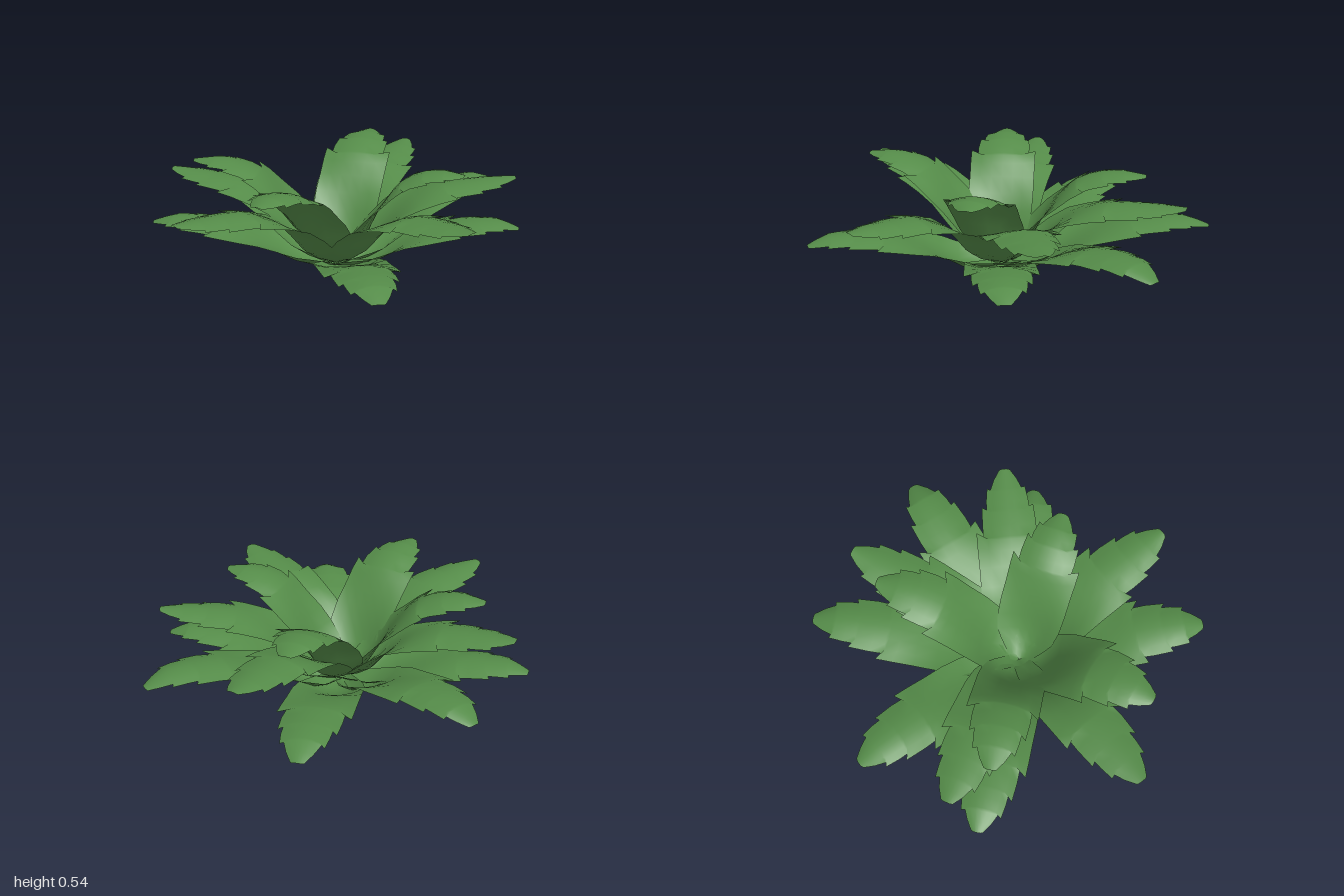
import * as THREE from 'three';

const CENTRE = new THREE.Vector2(0.04, 0.07);

// Midrib of each tier: [fraction of reach, height]
const PROFILES = {
  upper: [[0, 0.02], [0.18, 0.11], [0.36, 0.34], [0.54, 0.49], [0.78, 0.545], [1, 0.535]],
  middle: [[0, 0.015], [0.18, 0.1], [0.34, 0.28], [0.54, 0.39], [0.78, 0.425], [1, 0.437]],
  lower: [[0, 0.005], [0.18, 0.02], [0.38, 0.16], [0.6, 0.265], [0.8, 0.295], [0.9, 0.29], [1, 0.25]],
};

// Serrated outline: [fraction of length, half width, forward shift of the edge]
const OUTLINE = [
  [0, 0.045, 0], [0.06, 0.085, 0], [0.12, 0.12, 0], [0.2, 0.15, 0], [0.3, 0.167, 0],
  [0.4, 0.172, 0], [0.5, 0.172, 0], [0.58, 0.174, 0.02], [0.63, 0.174, 0.05], [0.645, 0.138, 0],
  [0.7, 0.14, 0.015], [0.77, 0.134, 0.045], [0.785, 0.112, 0],
  [0.83, 0.11, 0.01], [0.88, 0.1, 0.03], [0.895, 0.084, 0], [0.95, 0.06, 0], [1, 0.03, -0.005],
];
const ACROSS = [-1, -0.66, -0.33, 0, 0.33, 0.66, 1];

// Tier, tip x, tip z, height factor
const LEAVES = [
  ['upper', 0.57, -0.29, 1], ['upper', 0.33, 0.74, 1],
  ['upper', -0.49, 0.56, 1], ['upper', -0.4, -0.53, 1],
  ['middle', 0.955, 0.05, 1], ['middle', 0.07, 1.0, 1], ['middle', -0.73, 0.55, 1],
  ['middle', -0.39, -0.79, 1], ['middle', 0.51, -0.72, 1],
  ['lower', 0.1, -1.0, 1.1], ['lower', -0.96, 0.11, 1], ['lower', 0.89, 0.52, 0.87],
  ['lower', 0.64, -0.62, 0.87], ['lower', -0.68, 0.71, 0.74], ['lower', -0.74, -0.68, 0.92],
];

// A channelled leaf: folded upward at the base, arching over towards the tip
function leafGeometry(tier, tipX, tipZ, heightFactor) {
  const reach = Math.hypot(tipX - CENTRE.x, tipZ - CENTRE.y);
  const dx = (tipX - CENTRE.x) / reach, dz = (tipZ - CENTRE.y) / reach;
  const midrib = new THREE.CatmullRomCurve3(
    PROFILES[tier].map(([r, y]) => new THREE.Vector3(r * reach, y * heightFactor, 0)));
  const positions = [], faces = [], n = ACROSS.length;

  OUTLINE.forEach(([t, halfWidth, shift], i) => {
    const p = midrib.getPointAt(t), tan = midrib.getTangentAt(t);
    const cup = THREE.MathUtils.lerp(0.07, -0.03, THREE.MathUtils.smoothstep(t, 0.15, 0.65))
      * Math.min(1, halfWidth / 0.13);
    ACROSS.forEach((u, j) => {
      const lift = cup * u * u, forward = shift * u ** 4;
      const r = p.x + tan.x * forward - tan.y * lift;
      const y = p.y + tan.y * forward + tan.x * lift;
      const side = u * halfWidth;
      positions.push(CENTRE.x + dx * r - dz * side, Math.max(0, y), CENTRE.y + dz * r + dx * side);
      if (i > 0 && j > 0) {
        const d = i * n + j, c = d - 1, b = d - n, a = b - 1;
        faces.push(a, b, c, b, d, c);
      }
    });
  });

  const geometry = new THREE.BufferGeometry();
  geometry.setAttribute('position', new THREE.Float32BufferAttribute(positions, 3));
  geometry.setIndex(faces);
  geometry.computeVertexNormals();
  return geometry;
}

export function createModel() {
  const plant = new THREE.Group();
  plant.name = 'leafRosette';
  const leafGreen = new THREE.MeshStandardMaterial({ color: 0x558c49, side: THREE.DoubleSide });
  leafGreen.name = 'leaf green';

  // One group per tier of leaves
  const tiers = {};
  for (const tier of Object.keys(PROFILES)) {
    tiers[tier] = new THREE.Group();
    tiers[tier].name = `${tier}Leaves`;
    plant.add(tiers[tier]);
  }
  for (const [tier, x, z, heightFactor] of LEAVES) {
    const leaf = new THREE.Mesh(leafGeometry(tier, x, z, heightFactor), leafGreen);
    leaf.name = `${tier}Leaf`;
    tiers[tier].add(leaf);
  }
  return plant;
}
